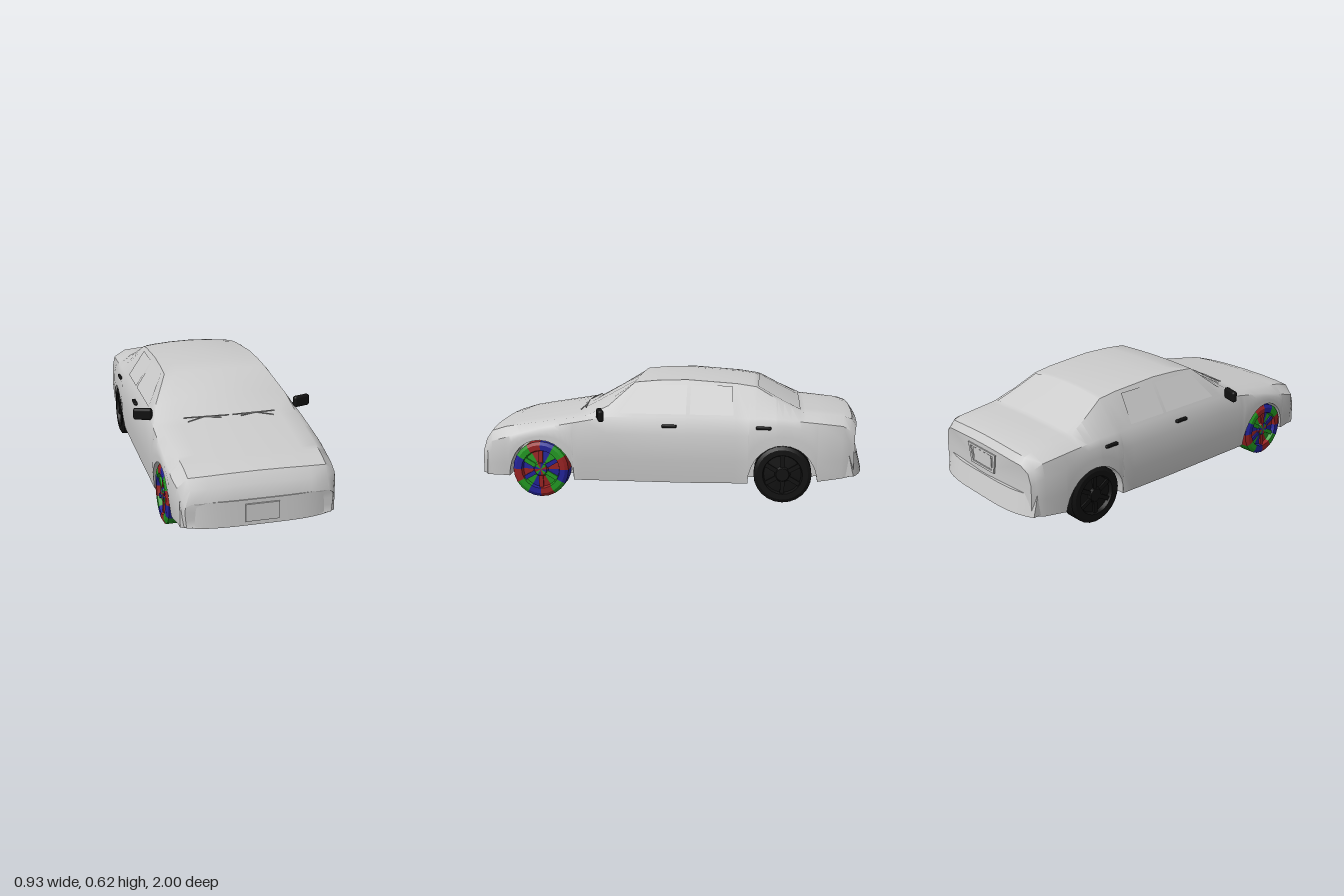
import * as THREE from 'three';
import { toCreasedNormals } from 'three/addons/utils/BufferGeometryUtils.js';
import { RoundedBoxGeometry } from 'three/addons/geometries/RoundedBoxGeometry.js';

const mat = (color, side = THREE.FrontSide) => new THREE.MeshStandardMaterial({ color, side });
const paint = mat(0xcccccc), pane = mat(0xcccccc, THREE.DoubleSide), black = mat(0x111111);
const rainbow = [0x992222, 0x229922, 0x222299].map((c) => mat(c, THREE.DoubleSide));

// body lines from nose to tail, each a few [z, value] points
const floorLine = [[0.985, 0.11], [0.45, 0.095], [-0.1, 0.095], [-0.68, 0.105], [-0.965, 0.145]];
const widthLine = [[0.985, 0.355], [0.93, 0.383], [0.85, 0.394], [0.45, 0.406], [-0.56, 0.406], [-0.9, 0.388], [-0.965, 0.36]];
const beltInsetLine = [[0.985, 0.005], [0.65, 0.013], [0.17, 0.029], [-0.35, 0.029], [-0.68, 0.02], [-0.965, 0.015]];
const beltLine = [[0.985, 0.21], [0.93, 0.285], [0.65, 0.36], [0.3, 0.425], [-0.56, 0.43], [-0.9, 0.4], [-0.965, 0.36]];
const roofEdgeLine = [[0.985, 0.325], [0.42, 0.355], [0.3, 0.345], [0.17, 0.272], [-0.45, 0.262], [-0.68, 0.315], [-0.965, 0.3]];
const crownLine = [[0.985, 0.01], [0.45, 0.018], [0.42, 0.032], [0.3, 0.047], [0.17, 0.008], [-0.1, 0.014], [-0.56, 0.021], [-0.68, 0.012], [-0.965, 0.015]];
const centreLine = [[0.985, 0.235], [0.965, 0.295], [0.93, 0.342], [0.85, 0.367], [0.45, 0.437], [0.17, 0.598], [0.05, 0.612],
  [-0.1, 0.62], [-0.35, 0.607], [-0.45, 0.594], [-0.68, 0.47], [-0.9, 0.452], [-0.94, 0.44], [-0.965, 0.405]];
const axles = [0.65, -0.59], archRun = 0.175, archRise = 0.2;

function at(line, z) {
  let i = 0;
  while (i < line.length - 2 && z < line[i + 1][0]) i++;
  const [a, b] = [line[i], line[i + 1]];
  return THREE.MathUtils.mapLinear(z, a[0], b[0], a[1], b[1]);
}

// hood, roof and boot surface; u runs from the centre (0) to the edge (1)
const crown = (u, z) => [at(roofEdgeLine, z) * u, at(centreLine, z) - at(crownLine, z) * u * u];

// nose and tail curve back towards the corners
function bowed(x, y, z) {
  const end = THREE.MathUtils.clamp((Math.abs(z) - 0.75) / 0.25, 0, 1);
  return [x, y, z * (1 - 0.04 * end * (x / 0.4) ** 4)];
}

// one closed body section, with the wheel wells folded in
function section(z) {
  const floor = at(floorLine, z), w = at(widthLine, z), belt = at(beltLine, z);
  let arch = floor;
  for (const c of axles) {
    const d = (z - c) / archRun;
    if (Math.abs(d) < 1) arch = Math.max(arch, 0.1 + archRise * Math.sqrt(1 - d * d));
  }
  const side = (t) => {
    const y = arch + (belt - arch) * t;
    return [w * (1 - 1.2 * (y - 0.26) ** 2), y];
  };
  const half = [[0, floor], [0.27, floor], [0.27, arch], side(0), side(0.35), side(0.75),
    [w - at(beltInsetLine, z), belt], ...[1, 0.75, 0.4, 0].map((u) => crown(u, z))];
  const mirrored = half.slice(1, -1).reverse().map(([x, y]) => [-x, y]);
  return [...half, ...mirrored].map(([x, y]) => bowed(x, y, z));
}

function bodyGeometry() {
  const lines = [floorLine, widthLine, beltInsetLine, beltLine, roofEdgeLine, crownLine, centreLine];
  const stops = new Set(lines.flat().map(([z]) => z));
  for (const c of axles)
    for (let i = 0; i <= 14; i++) stops.add(c + archRun * Math.cos((Math.PI * i) / 14));
  const zs = [...stops].sort((a, b) => b - a);
  const rings = zs.map(section), n = rings[0].length, index = [];
  const pos = rings.flat(2);
  for (let i = 0; i < rings.length - 1; i++)
    for (let j = 0; j < n; j++) {
      const a = i * n + j, b = i * n + ((j + 1) % n);
      index.push(a, a + n, b, b, a + n, b + n);
    }
  // nose and tail caps
  const front = rings.length * n, back = front + 1, last = (rings.length - 1) * n;
  pos.push(0, 0.17, zs[0], 0, 0.27, zs[zs.length - 1]);
  for (let j = 0; j < n; j++) {
    const k = (j + 1) % n;
    index.push(front, j, k, back, last + k, last + j);
  }
  const g = new THREE.BufferGeometry();
  g.setAttribute('position', new THREE.Float32BufferAttribute(pos, 3));
  g.setIndex(index);
  return toCreasedNormals(g, 0.6);
}

// thin sheet from a grid of points
function sheet(rows) {
  const n = rows[0].length, index = [];
  for (let i = 0; i < rows.length - 1; i++)
    for (let j = 0; j < n - 1; j++) {
      const a = i * n + j;
      index.push(a, a + 1, a + n, a + 1, a + n + 1, a + n);
    }
  const g = new THREE.BufferGeometry();
  g.setAttribute('position', new THREE.Float32BufferAttribute(rows.flat(2), 3));
  g.setIndex(index);
  g.computeVertexNormals();
  return g;
}

// bumper bar curved in plan; its upper edge can lean inwards
function bumperGeometry(halfWidth, reach, y0, y1, lean) {
  const shape = new THREE.Shape();
  shape.moveTo(-halfWidth, 0.88);
  shape.lineTo(halfWidth, 0.88);
  for (let i = 10; i >= -10; i--) shape.lineTo((halfWidth * i) / 10, reach - 0.055 * (i / 10) ** 4);
  const g = new THREE.ExtrudeGeometry(shape, { depth: y1 - y0, bevelEnabled: false });
  const p = g.attributes.position;
  for (let i = 0; i < p.count; i++) if (p.getZ(i) < 1e-6) p.setY(i, p.getY(i) - lean);
  g.rotateX(Math.PI / 2).translate(0, y1, 0);
  return toCreasedNormals(g, 0.5);
}

function wheel(front) {
  const group = new THREE.Group();
  const profile = [[0, -0.052], [0.125, -0.052], [0.145, -0.04], [0.145, 0.04], [0.128, 0.05],
    [0.1, 0.05], [0.094, 0.03], [0.04, 0.034], [0.032, 0.045], [0, 0.045]]
    .map(([r, y]) => new THREE.Vector2(r, y));
  const parts = front ? 12 : 1, arc = (Math.PI * 2) / parts;
  for (let i = 0; i < parts; i++) {
    const g = new THREE.LatheGeometry(profile, front ? 2 : 24, i * arc, arc);
    const sector = new THREE.Mesh(toCreasedNormals(g, 0.5), front ? rainbow[i % 3] : black);
    sector.name = 'tyreAndRim';
    group.add(sector);
  }
  for (let i = 0; i < 6; i++) {
    const spoke = new THREE.Mesh(new THREE.BoxGeometry(0.07, 0.012, 0.022).translate(0.063, 0.035, 0),
      front ? rainbow[i % 3] : black);
    spoke.rotation.y = (i * Math.PI) / 3;
    spoke.name = 'spoke';
    group.add(spoke);
  }
  return group;
}

export function createModel() {
  const car = new THREE.Group();
  const add = (name, object, x = 0, y = 0, z = 0) => {
    object.name = name;
    object.position.set(x, y, z);
    car.add(object);
    return object;
  };
  const mesh = (g, m = paint) => new THREE.Mesh(g, m);

  add('body', mesh(bodyGeometry()));
  add('frontBumper', mesh(bumperGeometry(0.37, 0.994, 0.105, 0.23, 0.004)));
  add('rearBumper', mesh(bumperGeometry(0.372, 0.998, 0.145, 0.25, 0.025))).rotation.y = Math.PI;
  add('frontPlate', mesh(new THREE.BoxGeometry(0.16, 0.085, 0.012)), 0, 0.168, 0.993);

  // rear plate inside a tapered frame
  const trapezoid = (S, a, b, h) => new S([[-a, -h], [a, -h], [b, h], [-b, h]].map(([x, y]) => new THREE.Vector2(x, y)));
  const frame = trapezoid(THREE.Shape, 0.095, 0.115, 0.05);
  frame.holes.push(trapezoid(THREE.Path, 0.08, 0.098, 0.038));
  const frameGeometry = new THREE.ExtrudeGeometry(frame, { depth: 0.008, bevelEnabled: false });
  add('rearPlateFrame', mesh(frameGeometry), 0, 0.33, -0.963).rotation.y = Math.PI;
  add('rearPlate', mesh(new THREE.BoxGeometry(0.15, 0.07, 0.006)), 0, 0.33, -0.965);

  // rear window follows the body crown
  const rows = [-0.46, -0.56, -0.675].map((z) => [-0.93, -0.75, -0.4, 0, 0.4, 0.75, 0.93].map((u) => {
    const [x, y] = crown(u, z);
    return [x, y + 0.004, z];
  }));
  add('rearWindow', mesh(sheet(rows.reverse().map((r) => r)), pane));

  for (const s of [1, -1]) {
    const side = s > 0 ? 'left' : 'right';
    // side panes lie just outside the cabin slope: bottom and top z of both upright edges
    [[0.24, 0.14, -0.1, -0.1], [-0.12, -0.12, -0.34, -0.33]].forEach(([b0, t0, b1, t1], i) => {
      const low = (z) => [s * 0.371, 0.444, z], high = (z) => [s * 0.284, 0.58, z];
      const edges = [[low(b0), high(t0)], [low(b1), high(t1)]];
      add(side + (i ? 'RearWindow' : 'FrontWindow'), mesh(sheet(s > 0 ? edges.reverse() : edges), pane));
    });
    const mirror = add(side + 'Mirror', mesh(new RoundedBoxGeometry(0.096, 0.06, 0.03, 3, 0.013), black), s * 0.418, 0.442, 0.33);
    mirror.rotation.y = s * 0.3;
    [-0.018, -0.492].forEach((z, i) =>
      add(side + (i ? 'RearHandle' : 'FrontHandle'), mesh(new RoundedBoxGeometry(0.02, 0.016, 0.076, 2, 0.006), black), s * 0.398, 0.387, z));

    // wiper: blade and arm
    const wiper = add(side + 'Wiper', new THREE.Group());
    for (const [a, b] of [[[0.01, 0.447, 0.462], [0.235, 0.442, 0.44]], [[0.13, 0.446, 0.452], [0.22, 0.431, 0.47]], [[0.05, 0.44, 0.47], [0.13, 0.446, 0.455]]]) {
      const line = new THREE.LineCurve3(new THREE.Vector3(s * a[0], a[1], a[2]), new THREE.Vector3(s * b[0], b[1], b[2]));
      const rod = mesh(new THREE.TubeGeometry(line, 1, 0.003, 6));
      rod.name = 'wiperRod';
      wiper.add(rod);
    }

    axles.forEach((z, i) => {
      const w = add(side + (i ? 'RearWheel' : 'FrontWheel'), wheel(i === 0), s * 0.348, i ? 0.15 : 0.145, z);
      w.rotation.z = (-s * Math.PI) / 2;
    });
  }
  return car;
}
